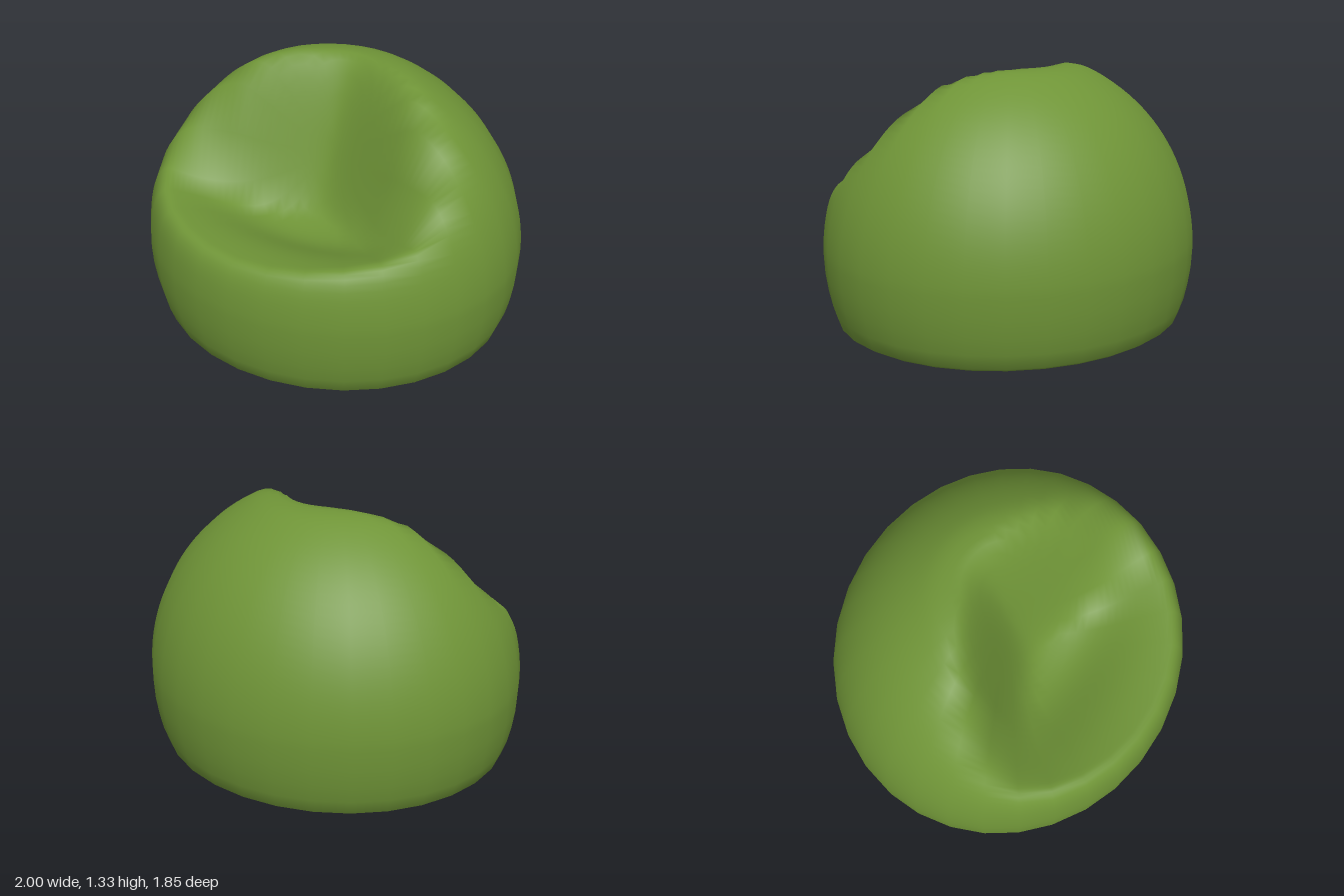
import * as THREE from 'three';
import { mergeVertices } from 'three/addons/utils/BufferGeometryUtils.js';

const DEPTH = 0.925;   // front-to-back radius, the width radius is 1
const BELLY = 0.4;     // height of the widest ring
const SEGMENTS = 32;
const DOME_RINGS = 32;
const { smoothstep } = THREE.MathUtils;

// Smooth minimum: rounds the rim where the seat meets the dome
function softMin(a, b, k) {
  const h = Math.max(k - Math.abs(a - b), 0) / k;
  return Math.min(a, b) - h * h * k * 0.25;
}

// Height of the hollow: a backrest folded at the middle, falling to a dished seat
function hollowHeight(x, z) {
  const crest = Math.min(1.335, BELLY + Math.sqrt(Math.max(0, 1 - x * x)) + 0.06);
  const dish = 0.13 * Math.exp(-(((z - 0.33) / 0.25) ** 2)) * Math.max(0, 1 - 1.8 * x * x);
  const seat = 0.68 + 0.18 * x * x - dish;
  const backLine = -0.07 + 0.45 * Math.sqrt(x * x + 0.008);
  const t = smoothstep(z - backLine, -0.2, 0.21);
  return crest + (seat - crest) * t;
}

function bagGeometry() {
  // Rings as [radius, height]: flat base, rounded foot, belly, then dome
  const rings = [[0, 0.005], [0.45, 0.005], [0.84, 0.01], [0.9, 0.024], [0.935, 0.045],
    [0.962, 0.12], [0.981, 0.205], [0.995, 0.3]];
  for (let i = 0; i <= DOME_RINGS; i++) {
    const phi = (i / DOME_RINGS) * Math.PI / 2;
    rings.push([Math.cos(phi), BELLY + Math.sin(phi)]);
  }
  const positions = [];
  const index = [];
  rings.forEach(([r, h], i) => {
    for (let j = 0; j < SEGMENTS; j++) {
      const a = (j / SEGMENTS) * Math.PI * 2;
      const x = r * Math.sin(a);
      const z = r * Math.cos(a) * DEPTH;
      // The rim is crisp at the back and plump towards the front
      const softness = 0.03 + 0.14 * smoothstep(z, -0.25, 0.25);
      const y = h > BELLY ? softMin(h, hollowHeight(x, z), softness) : h;
      positions.push(x, y, z);
      if (i === rings.length - 1) continue;
      const p = i * SEGMENTS + j;
      const q = i * SEGMENTS + (j + 1) % SEGMENTS;
      if (i > 0) index.push(p, q, p + SEGMENTS);
      if (i < rings.length - 2) index.push(q, q + SEGMENTS, p + SEGMENTS);
    }
  });
  const geometry = new THREE.BufferGeometry();
  geometry.setAttribute('position', new THREE.Float32BufferAttribute(positions, 3));
  geometry.setIndex(index);
  const merged = mergeVertices(geometry, 1e-5);
  merged.computeVertexNormals();
  return merged;
}

export function createModel() {
  const group = new THREE.Group();
  group.name = 'beanBagChair';
  const greenFabric = new THREE.MeshStandardMaterial({ color: 0x6f9437 });
  greenFabric.name = 'greenFabric';
  const bag = new THREE.Mesh(bagGeometry(), greenFabric);
  bag.name = 'bag';
  group.add(bag);
  return group;
}
